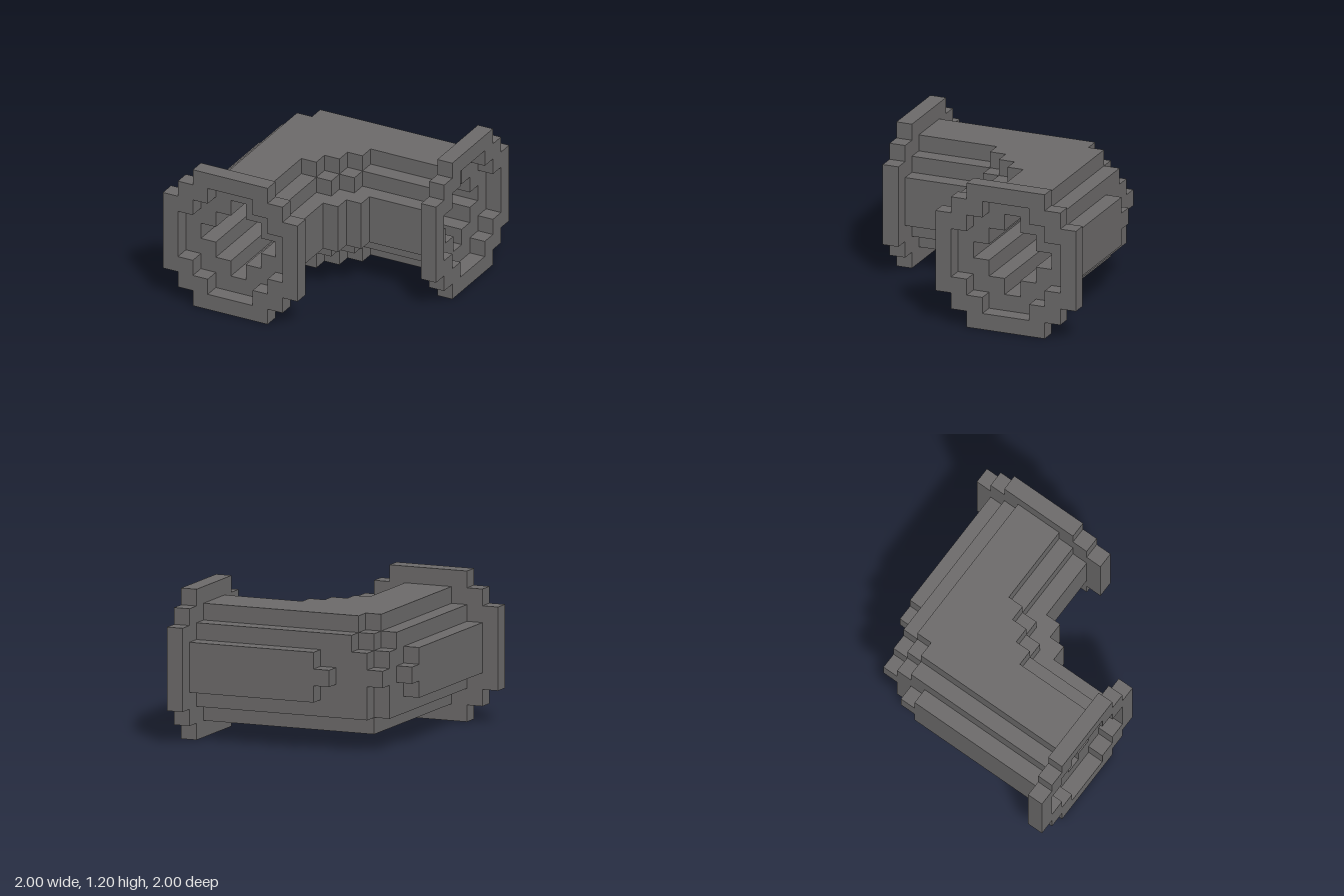
import * as THREE from 'three';

const N = 15, H = 9;        // block counts: N wide and deep, H high
const S = 2 / N;            // block size

// Ring-shaped end flange, 9 blocks across with a 7-block opening
const ring = (u, v) => {
  const a = Math.abs(u - 4), b = Math.abs(v - 4);
  const outer = Math.max(a, b) <= 4 && a + b <= 6;
  const hole = Math.max(a, b) <= 3 && a + b <= 4;
  return outer && !hole;
};
const frontFlange = (i, j, k) => k === 14 && ring(i, j);
const sideFlange = (i, j, k) => i === 14 && ring(k, j);

// Hollow bore running from the front opening round to the side opening
function bore(i, j, k) {
  const h = Math.abs(j - 4), m = Math.min(i, k);
  if (h > 2) return false;
  if (m < 2 + h || m > 6 - h) return false;
  if (h === 0) {
    if (k === 2) return i >= 5;
    if (k === 3) return i >= 3;
    if (i === 2) return k >= 4;
  }
  return true;
}

// Stepped octagonal elbow pipe, one L-shaped layer per height
function elbow(i, j, k) {
  const h = Math.abs(j - 4);
  if (h > 3 || i > 13 || k > 13) return false;
  const lo = Math.max(1, h), hi = 8 - lo;
  const m = Math.min(i, k), M = Math.max(i, k);
  if (m < lo) return false;
  if (m > hi) { // stepped fillet on the inside of the bend
    const [reach, sum] = h === 3 ? [8, 14] : h === 2 ? [8, 15] : [9, 17];
    return M <= reach && i + k <= sum;
  }
  // stepped chamfer on the outside of the bend
  const nub = h === 0 ? 1 : 0;
  if (k === 1) return i >= 6 - nub;
  if (i === 1) return k >= 5 - nub;
  if (M === 2 && h > 0) return false;
  if (j === 6 && m === 2 && M === 3) return false;
  if (j === 7 && M === 3) return false;
  return !bore(i, j, k);
}

const solid = (i, j, k) => elbow(i, j, k) || frontFlange(i, j, k) || sideFlange(i, j, k);

// Surface of a part: only block faces that touch empty space
function blockSurface(part) {
  const pos = [];
  const quad = [[0, 0], [1, 0], [1, 1], [0, 0], [1, 1], [0, 1]];
  for (let i = 0; i < N; i++) for (let j = 0; j < H; j++) for (let k = 0; k < N; k++) {
    if (!part(i, j, k)) continue;
    for (let axis = 0; axis < 3; axis++) for (const side of [-1, 1]) {
      const next = [i, j, k];
      next[axis] += side;
      if (solid(...next)) continue;
      for (const [a, b] of quad) {
        const p = [i, j, k];
        p[axis] += side > 0 ? 1 : 0;
        p[(axis + 1) % 3] += side > 0 ? a : b;
        p[(axis + 2) % 3] += side > 0 ? b : a;
        pos.push(p[0] * S - 1, p[1] * S, p[2] * S - 1);
      }
    }
  }
  const g = new THREE.BufferGeometry();
  g.setAttribute('position', new THREE.Float32BufferAttribute(pos, 3));
  g.computeVertexNormals();
  return g;
}

export function createModel() {
  const group = new THREE.Group();
  group.name = 'pipeElbow';
  const iron = new THREE.MeshStandardMaterial({ color: 0x6b6969 });
  iron.name = 'dark grey iron';
  for (const [name, part] of Object.entries({ elbow, frontFlange, sideFlange })) {
    const mesh = new THREE.Mesh(blockSurface(part), iron);
    mesh.name = name;
    group.add(mesh);
  }
  return group;
}
